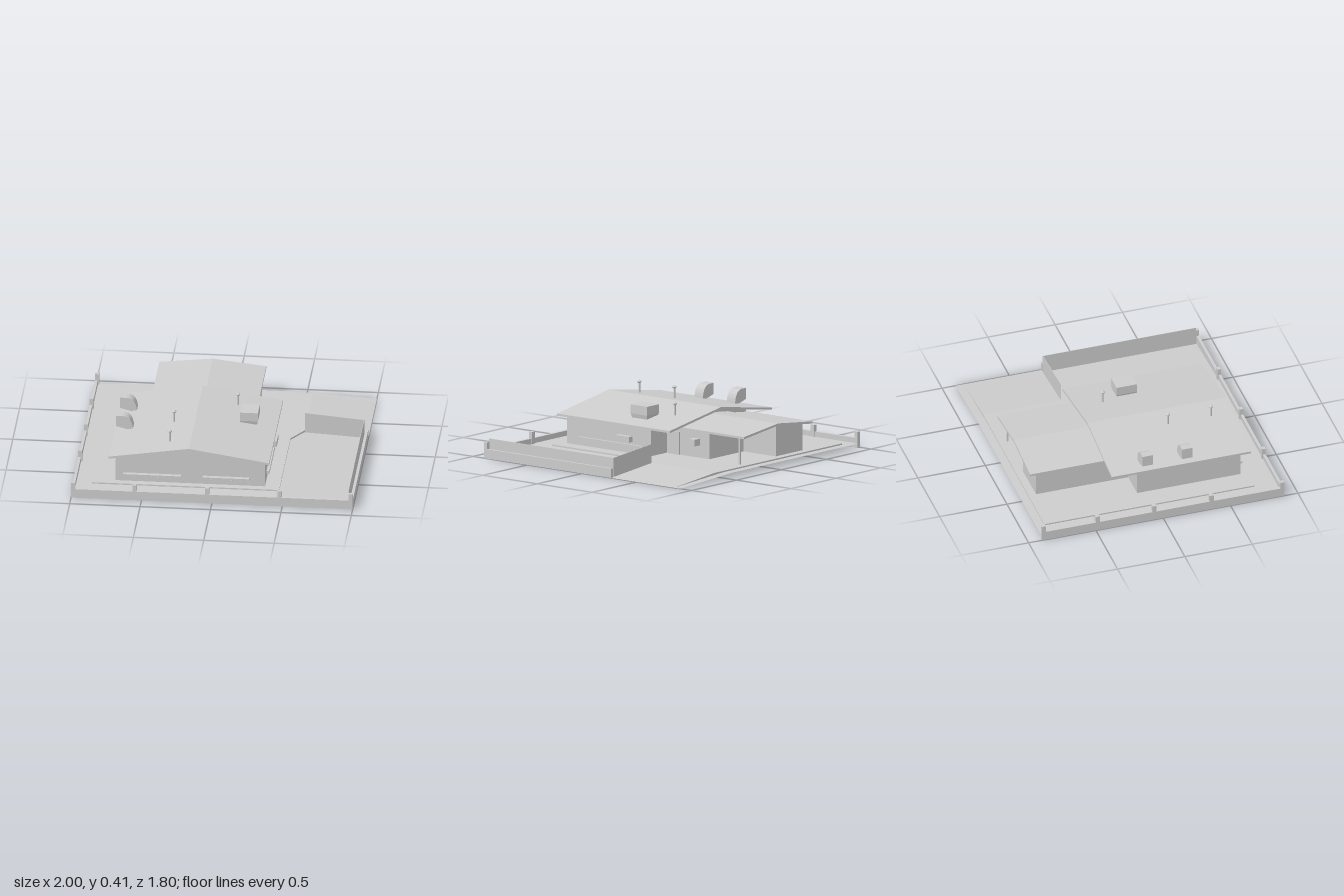
import * as THREE from 'three';

const grey = new THREE.MeshStandardMaterial({ color: 0xcccccc, side: THREE.DoubleSide });
grey.name = 'plain grey';
grey.flatShading = true;

export function createModel() {
  const model = new THREE.Group();
  model.name = 'houseOnPlot';

  const add = (name, geometry) => {
    const mesh = new THREE.Mesh(geometry, grey);
    mesh.name = name;
    model.add(mesh);
    return mesh;
  };
  // Box from its two corners
  const box = (name, x0, x1, y0, y1, z0, z1) => {
    const g = new THREE.BoxGeometry(x1 - x0, y1 - y0, z1 - z0);
    g.translate((x0 + x1) / 2, (y0 + y1) / 2, (z0 + z1) / 2);
    return add(name, g);
  };
  const outline = (pts) => new THREE.Shape(pts.map(([x, y]) => new THREE.Vector2(x, y)));
  // Profile in x and y, swept from z0 to z1
  const sweep = (name, shape, z0, z1) => {
    const g = new THREE.ExtrudeGeometry(shape, { depth: z1 - z0, bevelEnabled: false, curveSegments: 8 });
    g.translate(0, 0, z0);
    return add(name, g);
  };

  // Ground: an open sheet, level under the house and falling away to one side
  const ground = new THREE.PlaneGeometry(2, 1.8, 25, 1);
  ground.rotateX(-Math.PI / 2);
  const points = ground.attributes.position;
  for (let i = 0; i < points.count; i++)
    points.setY(i, 0.03 * Math.min(1, (1 - points.getX(i)) / 0.56));
  add('plotGround', ground);

  // House slab, and the bank behind the court
  const slab = new THREE.ExtrudeGeometry(outline([
    [-0.87, -0.72], [0.46, -0.72], [0.46, 0.12], [0.55, 0.26], [0.44, 0.26], [0.44, 0.84], [-0.87, 0.84],
  ]), { depth: 0.012, bevelEnabled: false });
  slab.rotateX(-Math.PI / 2);
  slab.translate(0, 0.028, 0);
  add('houseSlab', slab);
  sweep('backBank', outline([[0.44, 0.028], [1, 0], [0.55, 0.04], [0.44, 0.04]]), -0.84, -0.26);

  // Low boundary walls and their posts
  box('frontWall', -1, 1, 0, 0.067, 0.88, 0.9);
  box('rightBoundaryWall', -1, -0.98, 0, 0.067, -0.9, 0.88);
  box('leftBoundaryWall', 0.98, 1, 0, 0.067, -0.265, 0.88);
  for (const x of [-0.985, -0.55, -0.035, 0.48, 0.985])
    box('frontPost', x - 0.015, x + 0.015, 0, 0.115, 0.872, 0.9);
  for (const z of [-0.885, -0.485, -0.065, 0.36])
    box('sidePost', -1, -0.972, 0, 0.115, z - 0.015, z + 0.015);

  // Tall thin screen around the court
  box('courtSideScreen', 0.968, 0.971, 0, 0.14, -0.263, 0.875);
  sweep('courtBackScreen', outline([[0.55, 0.022], [0.97, 0], [0.97, 0.14], [0.55, 0.175]]), -0.263, -0.26);

  // Gabled walls and roofs share one roof line per block
  const mainTop = (x) => 0.338 - 0.153 * Math.abs(x + 0.18);
  const wingTop = (x) => 0.29 - 0.11 * Math.abs(x + 0.16);
  const thickness = 0.016;
  const walls = (name, x0, x1, ridge, top, z0, z1) => sweep(name, outline([
    [x0, 0.027], [x1, 0.027], [x1, top(x1) - thickness],
    ...(ridge < x1 ? [[ridge, top(ridge) - thickness]] : []),
    [x0, top(x0) - thickness],
  ]), z0, z1);
  const roof = (name, x0, x1, ridge, top, z0, z1) => sweep(name, outline([
    [x0, top(x0) - thickness], [ridge, top(ridge) - thickness], [x1, top(x1) - thickness],
    [x1, top(x1)], [ridge, top(ridge)], [x0, top(x0)],
  ]), z0, z1);
  walls('mainWalls', -0.705, 0.355, -0.18, mainTop, -0.1, 0.67);
  roof('mainRoof', -0.75, 0.39, -0.18, mainTop, -0.3, 0.73);
  walls('wingWalls', -0.5, 0.18, -0.16, wingTop, -0.49, -0.1);
  walls('wingBackWalls', -0.5, -0.2, -0.16, wingTop, -0.785, -0.49);
  roof('wingRoof', -0.54, 0.22, -0.16, wingTop, -0.84, -0.26);
  box('porchPost', 0.182, 0.194, 0.03, 0.24, -0.782, -0.77);

  // Rails on the walls, with small pegs below
  for (const [x0, x1] of [[-0.65, -0.24], [-0.085, 0.245]]) {
    box('frontRail', x0, x1, 0.09, 0.104, 0.67, 0.7);
    for (let i = 0; i < 4; i++) {
      const peg = add('railPeg', new THREE.CylinderGeometry(0.007, 0.007, 0.03, 8));
      peg.rotation.x = Math.PI / 2;
      peg.position.set(x0 + (x1 - x0) * (0.2 + 0.21 * i), 0.079, 0.683);
    }
  }
  box('sideRail', 0.355, 0.375, 0.08, 0.104, -0.04, 0.55);
  box('sideWallUnit', 0.355, 0.393, 0.122, 0.163, 0.07, 0.195);
  box('wingDoor', 0.18, 0.188, 0.04, 0.205, -0.22, -0.12);
  box('wingWallUnit', 0.18, 0.24, 0.13, 0.178, -0.405, -0.35);

  // Curved roof hoods
  const hood = new THREE.Shape();
  hood.moveTo(-0.738, 0.285);
  hood.lineTo(-0.738, 0.366);
  hood.lineTo(-0.69, 0.366);
  hood.quadraticCurveTo(-0.622, 0.36, -0.617, 0.262);
  hood.lineTo(-0.65, 0.262);
  hood.closePath();
  for (const z of [-0.07, 0.225]) sweep('roofHood', hood, z, z + 0.077);

  // Square roof unit with a tapering foot
  box('roofUnit', 0.128, 0.257, 0.302, 0.366, 0.016, 0.168);
  const foot = new THREE.CylinderGeometry(0.5, 0.44, 1, 4, 1, false, Math.PI / 4);
  foot.scale(0.129 * Math.SQRT2, 0.034, 0.152 * Math.SQRT2);
  foot.translate(0.1925, 0.286, 0.092);
  add('roofUnitFoot', foot);

  // Vent pipes with pointed caps
  const cap = [[0, -0.016], [0.016, -0.003], [0.016, 0.003], [0, 0.016]]
    .map(([r, y]) => new THREE.Vector2(r, y));
  for (const [x, z, top] of [[-0.33, 0.25, 0.41], [-0.33, 0.57, 0.41], [0.09, -0.1, 0.395]]) {
    const base = mainTop(x) - 0.01;
    const height = top - 0.015 - base;
    add('ventPipe', new THREE.CylinderGeometry(0.007, 0.007, height, 10)).position.set(x, base + height / 2, z);
    add('ventCap', new THREE.LatheGeometry(cap, 10)).position.set(x, top - 0.016, z);
  }

  return model;
}
